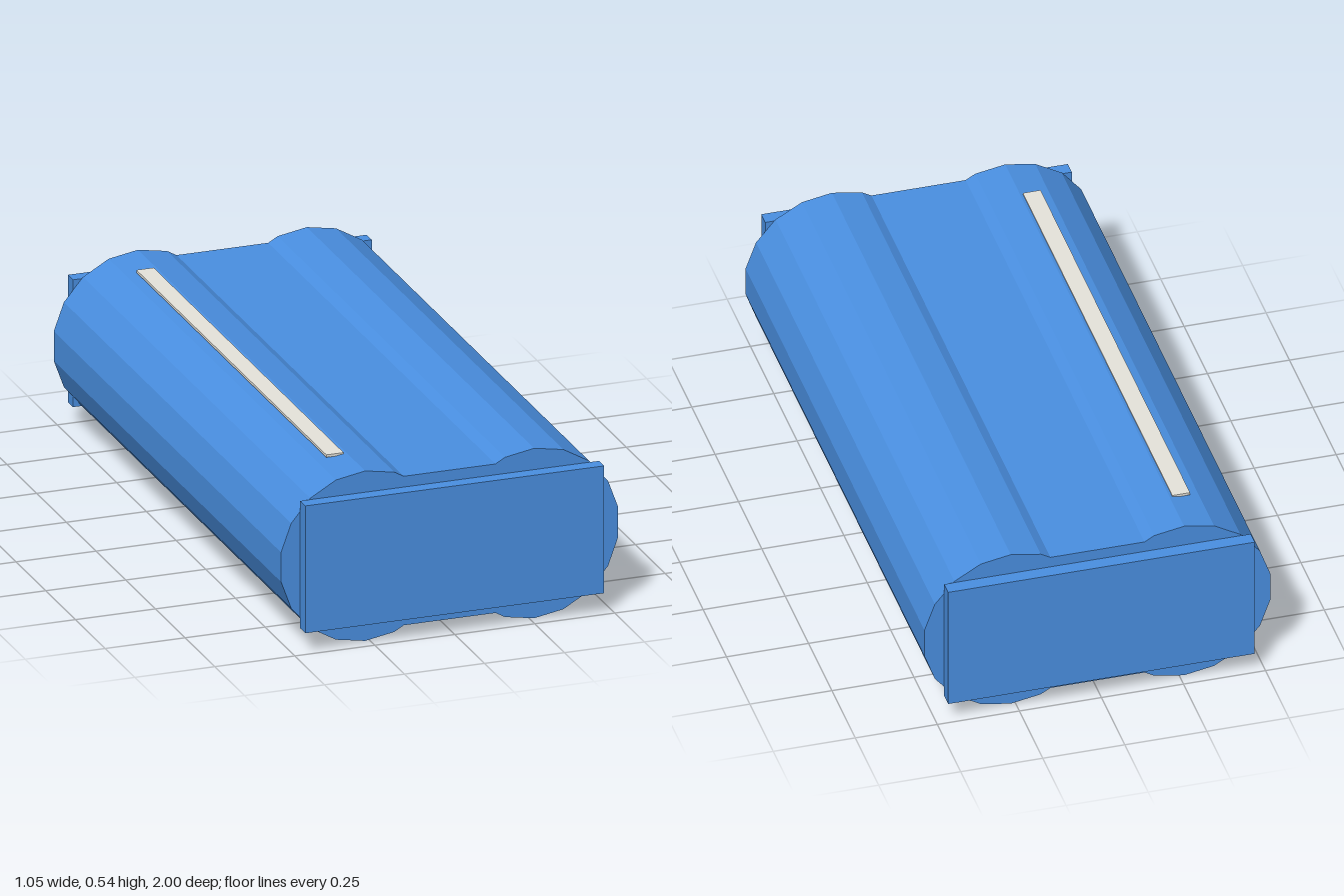
import * as THREE from 'three';

export function createModel() {
  const blue = new THREE.MeshStandardMaterial({ name: 'blue body', color: 0x4a90e2, flatShading: true });
  const paleGrey = new THREE.MeshStandardMaterial({ name: 'pale grey stripe', color: 0xe6e4dc, flatShading: true });
  const group = new THREE.Group();
  group.name = 'twinTubeCase';

  const add = (name, geometry, material, x, y, z) => {
    const mesh = new THREE.Mesh(geometry, material);
    mesh.name = name;
    mesh.position.set(x, y, z);
    group.add(mesh);
  };

  const midY = 0.267;
  const length = 1.914;

  // Flat core joining the two tubes
  add('core', new THREE.BoxGeometry(0.528, 0.468, length), blue, 0, midY, 0);

  // 18-sided tubes along each side
  for (const [name, side] of [['leftTube', 1], ['rightTube', -1]]) {
    const tube = new THREE.CylinderGeometry(0.267, 0.267, length, 18).rotateX(Math.PI / 2);
    add(name, tube, blue, side * 0.264, midY, 0);
  }

  // Rectangular end caps
  for (const [name, side] of [['frontCap', 1], ['backCap', -1]]) {
    add(name, new THREE.BoxGeometry(0.934, 0.4, 0.043), blue, 0, midY, side * 0.9785);
  }

  // Thin stripe along the top of the right tube
  add('stripe', new THREE.BoxGeometry(0.054, 0.008, 1.6), paleGrey, -0.3, 0.532, 0);

  return group;
}
